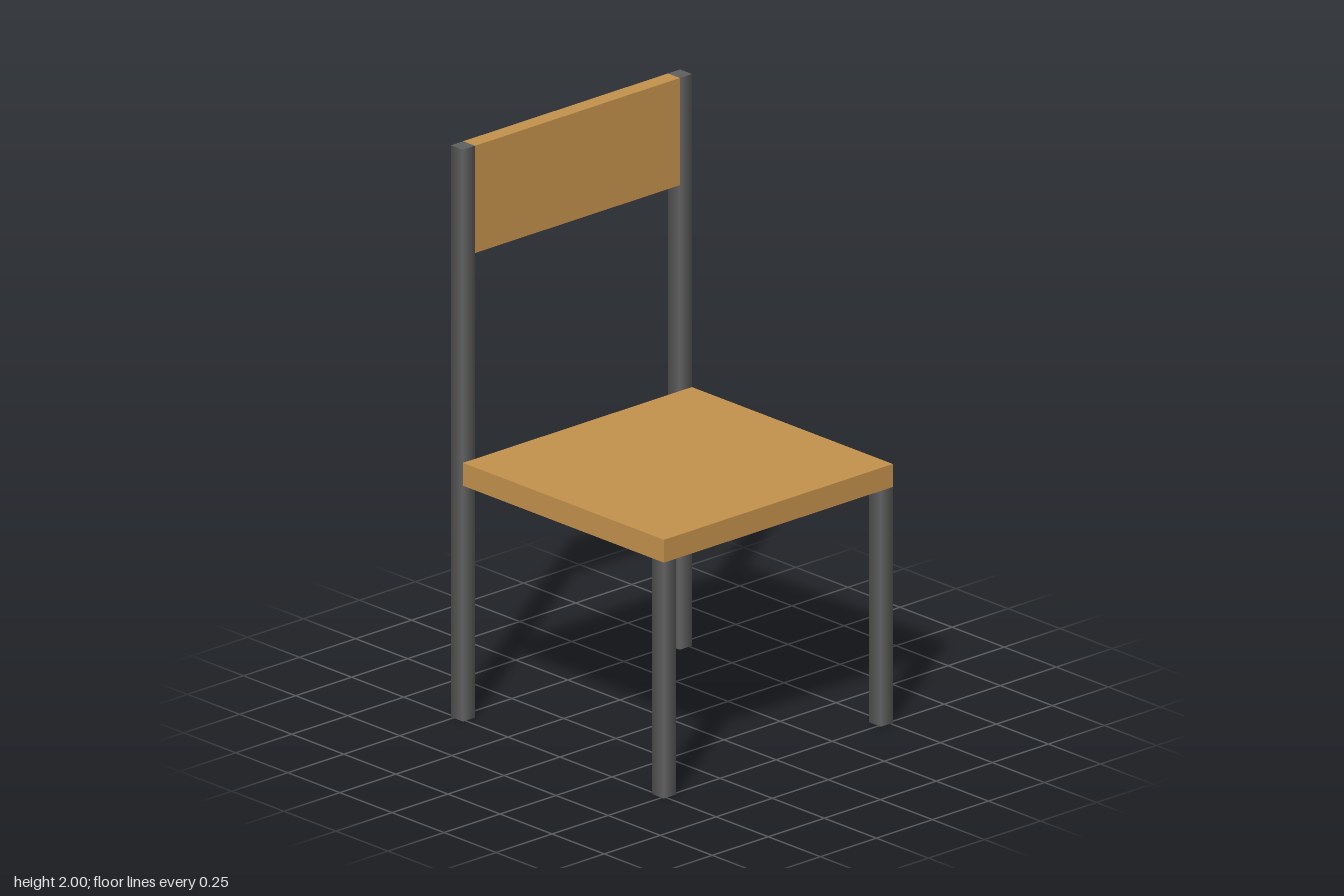
import * as THREE from 'three';

export function createModel() {
  const wood = new THREE.MeshStandardMaterial({ color: 0xc4924d });
  wood.name = 'wood';
  const metal = new THREE.MeshStandardMaterial({ color: 0x606060 });
  metal.name = 'darkMetal';

  const HALF = 0.511, LEG_W = 0.054, LEG_D = 0.057;
  const SEAT_BOTTOM = 0.825, SEAT_TOP = 0.905, HEIGHT = 2;
  const chair = new THREE.Group();
  chair.name = 'chair';

  // Box panel given by its y and z extents, centred on x
  function panel(name, width, y0, y1, z0, z1) {
    const mesh = new THREE.Mesh(new THREE.BoxGeometry(width, y1 - y0, z1 - z0), wood);
    mesh.name = name;
    mesh.position.set(0, (y0 + y1) / 2, (z0 + z1) / 2);
    chair.add(mesh);
  }

  // Four-sided bar with softly shaded sides, standing on the ground
  function leg(name, side, z, height) {
    const geometry = new THREE.CylinderGeometry(Math.SQRT1_2, Math.SQRT1_2, 1, 4);
    geometry.rotateY(Math.PI / 4);
    geometry.scale(LEG_W, height, LEG_D);
    const mesh = new THREE.Mesh(geometry, metal);
    mesh.name = name;
    mesh.position.set(side * (HALF - LEG_W / 2), height / 2, z);
    chair.add(mesh);
  }

  // Seat stops at the front of the rear posts; backrest sits between them
  panel('seat', HALF * 2, SEAT_BOTTOM, SEAT_TOP, -HALF + LEG_D, HALF);
  panel('backrest', (HALF - LEG_W) * 2, 1.625, HEIGHT, -HALF, -HALF + LEG_D);

  // Short front legs and full-height rear posts
  for (const [label, side] of [['left', 1], ['right', -1]]) {
    leg(label + 'FrontLeg', side, HALF - LEG_D / 2, SEAT_BOTTOM);
    leg(label + 'RearPost', side, -HALF + LEG_D / 2, HEIGHT);
  }
  return chair;
}
